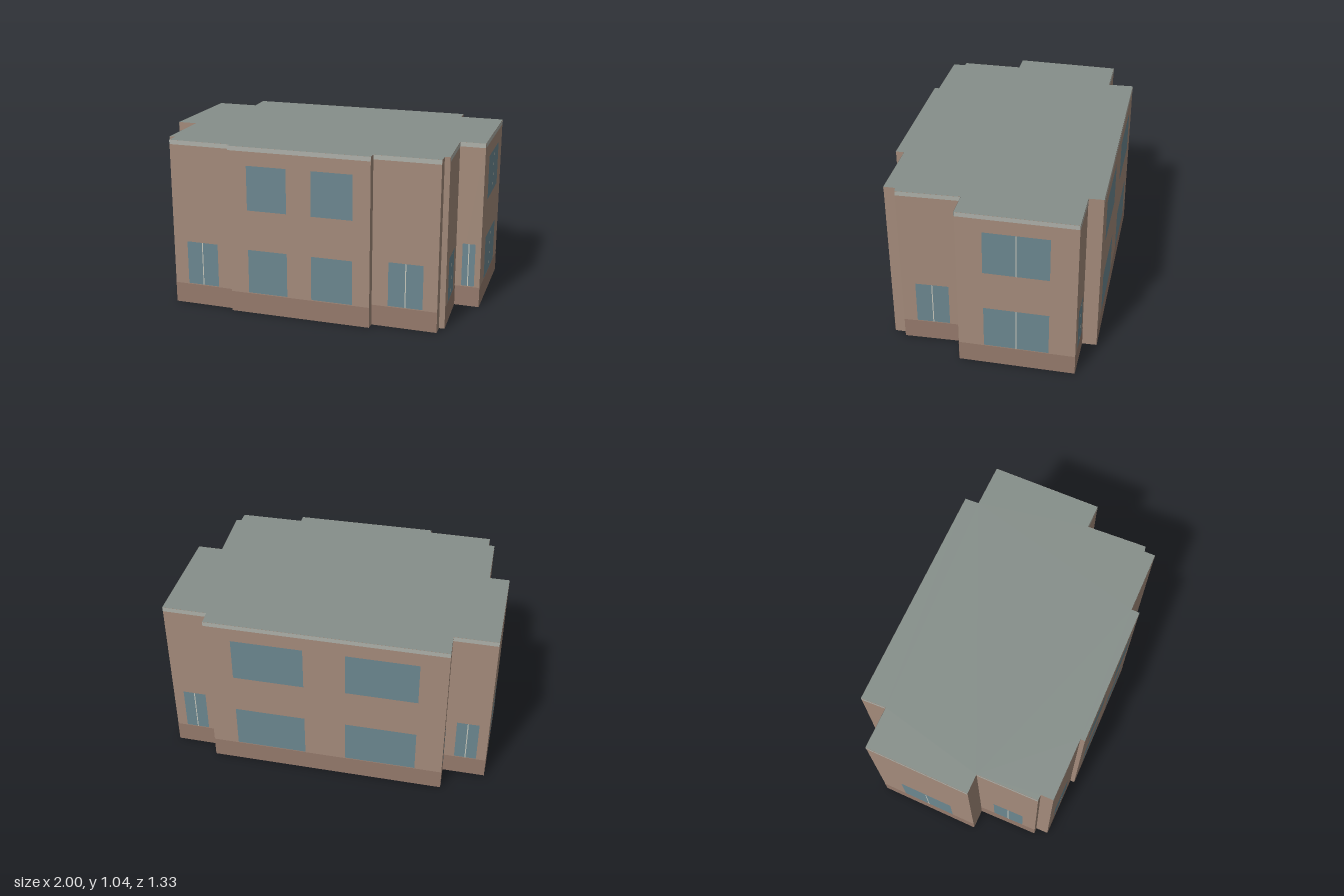
import * as THREE from 'three';

const HEIGHT = 1.037, BAND = 0.127, TRIM = 0.027;
const FLOORS = [[0.132, 0.405], [0.652, 0.925]];

const material = (color) => new THREE.MeshStandardMaterial({ color, side: THREE.DoubleSide });

// One entry per wall: its start corner (x, z), then openings [from, to, storeys, split].
// A wall with a list of openings also carries the plinth and the roof trim.
const WALLS = [
  { p: [-0.705, -0.668], openings: [[0.115, 0.415, 2, false], [0.59, 0.89, 2, false]] }, // back
  { p: [0.73, -0.6] },
  { p: [0.73, -0.512], openings: [[0.23, 0.76, 1, true]] },
  { p: [1, -0.497], openings: [[0.226, 0.78, 2, true]] }, // left side
  { p: [0.975, 0.19], openings: [[0.225, 0.74, 1, true]] },
  { p: [0.822, 0.182], openings: [[0.25, 0.78, 1, true]] },
  { p: [0.822, 0.557] },
  { p: [0.79, 0.562] },
  { p: [0.787, 0.63], openings: [[0.22, 0.75, 1, true]] }, // front
  { p: [0.395, 0.613] },
  { p: [0.392, 0.664], openings: [[0.12, 0.41, 2, false], [0.584, 0.867, 2, false]] },
  { p: [-0.475, 0.63] },
  { p: [-0.473, 0.602], openings: [[0.25, 0.77, 1, true]] },
  { p: [-0.86, 0.582] },
  { p: [-0.857, 0.505] },
  { p: [-0.892, 0.503], openings: [[0.23, 0.75, 1, true]] }, // right side
  { p: [-0.88, 0.126] },
  { p: [-1, 0.12], openings: [[0.23, 0.76, 1, true]] },
  { p: [-0.965, -0.522], openings: [[0.23, 0.75, 1, true]] },
  { p: [-0.705, -0.51], openings: [[0.22, 0.72, 1, true]] },
];

// Flat panel on the wall from a to b, between fractions t0 and t1 and heights y0 and y1
function panel(name, mat, a, b, t0, t1, y0, y1, offset) {
  const dx = b[0] - a[0], dz = b[1] - a[1];
  const length = Math.hypot(dx, dz), t = (t0 + t1) / 2;
  const nx = dz / length, nz = -dx / length;
  const mesh = new THREE.Mesh(new THREE.PlaneGeometry(length * (t1 - t0), y1 - y0), mat);
  mesh.name = name;
  mesh.position.set(a[0] + dx * t + nx * offset, (y0 + y1) / 2, a[1] + dz * t + nz * offset);
  mesh.rotation.y = Math.atan2(nx, nz);
  return mesh;
}

export function createModel() {
  const model = new THREE.Group();
  model.name = 'building';
  const wallMat = material(0xa48b7b), plinthMat = material(0x957a6c);
  const trimMat = material(0xaeb0a9), roofMat = material(0x868f8a);
  const glassMat = material(0x6c8790), mullionMat = material(0xc8c8bc);

  WALLS.forEach(({ p: a, openings }, i) => {
    const b = WALLS[(i + 1) % WALLS.length].p;
    const length = Math.hypot(b[0] - a[0], b[1] - a[1]);
    model.add(panel('wall', wallMat, a, b, 0, 1, 0, HEIGHT, 0));
    if (!openings) return;

    // Plinth and roof trim
    model.add(panel('plinth', plinthMat, a, b, 0, 1, 0, BAND, 0.0015));
    model.add(panel('roofTrim', trimMat, a, b, 0, 1, HEIGHT - TRIM, HEIGHT, 0.0015));

    // Windows, some divided by a centre mullion
    for (const [t0, t1, storeys, split] of openings) {
      for (const [y0, y1] of FLOORS.slice(0, storeys)) {
        model.add(panel('window', glassMat, a, b, t0, t1, y0, y1, 0.002));
        if (!split) continue;
        const mid = (t0 + t1) / 2, half = 0.003 / length;
        model.add(panel('mullion', mullionMat, a, b, mid - half, mid + half, y0, y1, 0.0035));
      }
    }
  });

  // Flat roof over the whole footprint; the base stays open
  const outline = new THREE.Shape(WALLS.map(({ p }) => new THREE.Vector2(p[0], -p[1])));
  const roof = new THREE.Mesh(new THREE.ShapeGeometry(outline), roofMat);
  roof.name = 'roof';
  roof.rotation.x = -Math.PI / 2;
  roof.position.y = HEIGHT;
  model.add(roof);

  return model;
}
